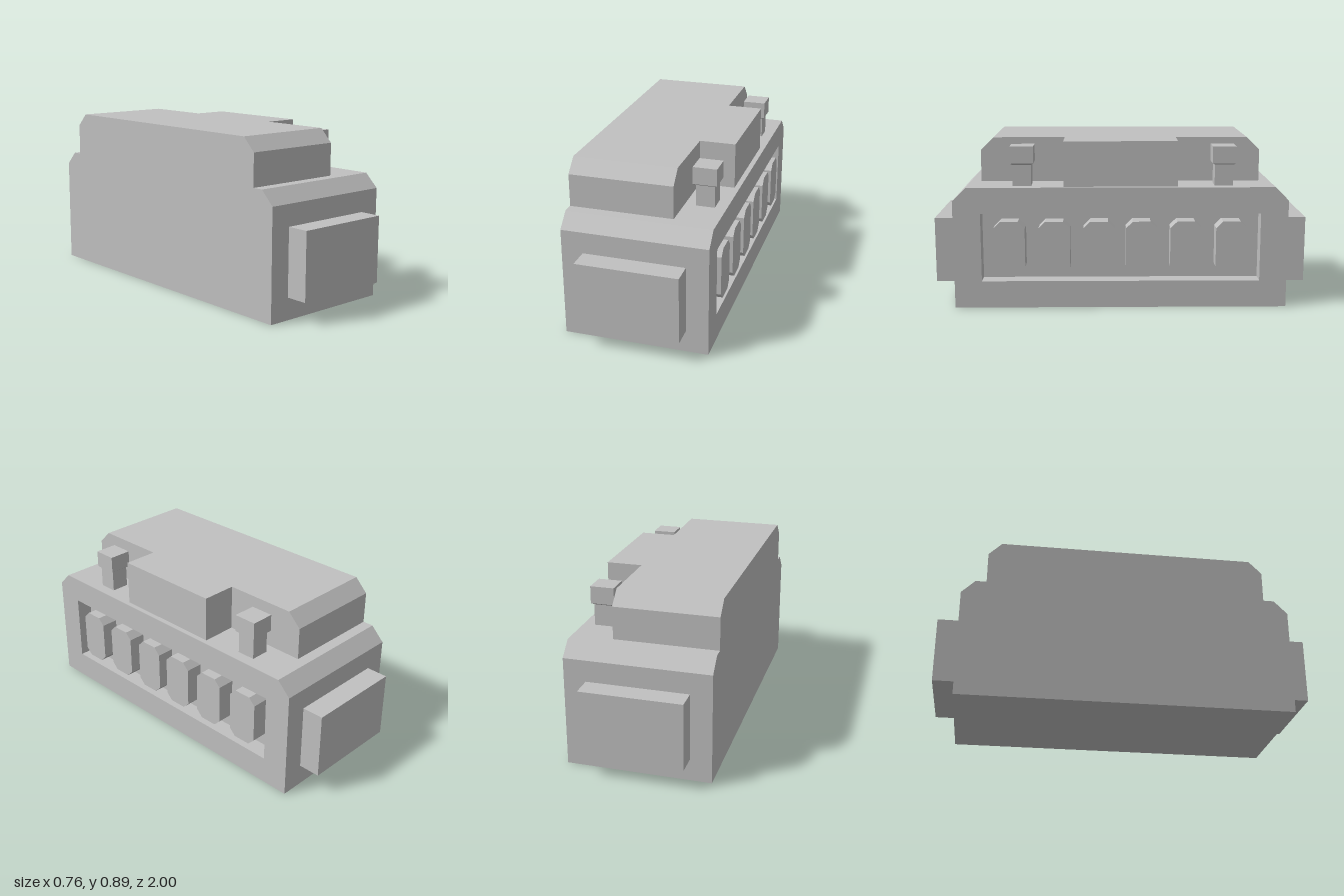
import * as THREE from 'three';

export function createModel() {
  const model = new THREE.Group();
  const grey = new THREE.MeshStandardMaterial({ color: 0xc0c0c0, flatShading: true });
  grey.name = 'light grey';

  function add(name, geometry, x = 0, y = 0, z = 0) {
    const mesh = new THREE.Mesh(geometry, grey);
    mesh.name = name;
    mesh.position.set(x, y, z);
    model.add(mesh);
    return mesh;
  }

  function box(name, x0, x1, y0, y1, z0, z1) {
    return add(name, new THREE.BoxGeometry(x1 - x0, y1 - y0, z1 - z0),
      (x0 + x1) / 2, (y0 + y1) / 2, (z0 + z1) / 2);
  }

  const toPoints = (pairs) => pairs.map(([u, v]) => new THREE.Vector2(u, v));

  // Side profile (u runs along -z, v up) swept from x0 to x1
  function prism(name, profile, x0, x1, hole) {
    const shape = new THREE.Shape(toPoints(profile));
    if (hole) shape.holes.push(new THREE.Path(toPoints(hole)));
    const geometry = new THREE.ExtrudeGeometry(shape, { depth: x1 - x0, bevelEnabled: false });
    geometry.rotateY(Math.PI / 2);
    geometry.translate(x0, 0, 0);
    return add(name, geometry);
  }

  // Block with the two upper end edges chamfered
  const chamferedBlock = (half, y0, y1, c) => [
    [-half, y0], [half, y0], [half, y1 - c], [half - c, y1], [-half + c, y1], [-half, y1 - c],
  ];

  // Main body: solid core plus a front layer cut open for the recess
  const bodyProfile = chamferedBlock(0.885, 0, 0.65, 0.072);
  const recess = [[-0.74, 0.145], [-0.74, 0.51], [0.74, 0.51], [0.74, 0.145]];
  prism('bodyCore', bodyProfile, -0.38, 0.285);
  prism('recessFrame', bodyProfile, 0.285, 0.375, recess);

  // Row of octagonal blocks standing in the recess
  const w = 0.083, y0 = 0.187, y1 = 0.468, c = 0.036;
  for (const z of [0.59, 0.352, 0.115, -0.11, -0.345, -0.587]) {
    const u = -z;
    prism('recessBlock', [
      [u - w + c, y0], [u + w - c, y0], [u + w, y0 + c], [u + w, y1 - c],
      [u + w - c, y1], [u - w + c, y1], [u - w, y1 - c], [u - w, y0 + c],
    ], 0.285, 0.38);
  }

  // Upper housing with its central projection
  prism('upperHousing', chamferedBlock(0.755, 0.65, 0.89, 0.07), -0.38, 0.16);
  box('housingProjection', 0.16, 0.348, 0.65, 0.89, -0.3, 0.3);

  // Raised plates on both ends
  for (const side of [-1, 1]) {
    box('endPlate', -0.268, 0.26, 0.115, 0.466, Math.min(side * 0.885, side), Math.max(side * 0.885, side));
  }

  // Two square knobs on stems, with a shallow taper under each cap
  for (const z of [0.522, -0.547]) {
    box('knobStem', 0.217, 0.315, 0.65, 0.764, z - 0.049, z + 0.049);
    const taper = new THREE.CylinderGeometry(0.062 * Math.SQRT2, 0.05 * Math.SQRT2, 0.008, 4);
    taper.rotateY(Math.PI / 4);
    add('knobTaper', taper, 0.266, 0.766, z);
    box('knobCap', 0.204, 0.328, 0.77, 0.86, z - 0.062, z + 0.062);
  }

  return model;
}
